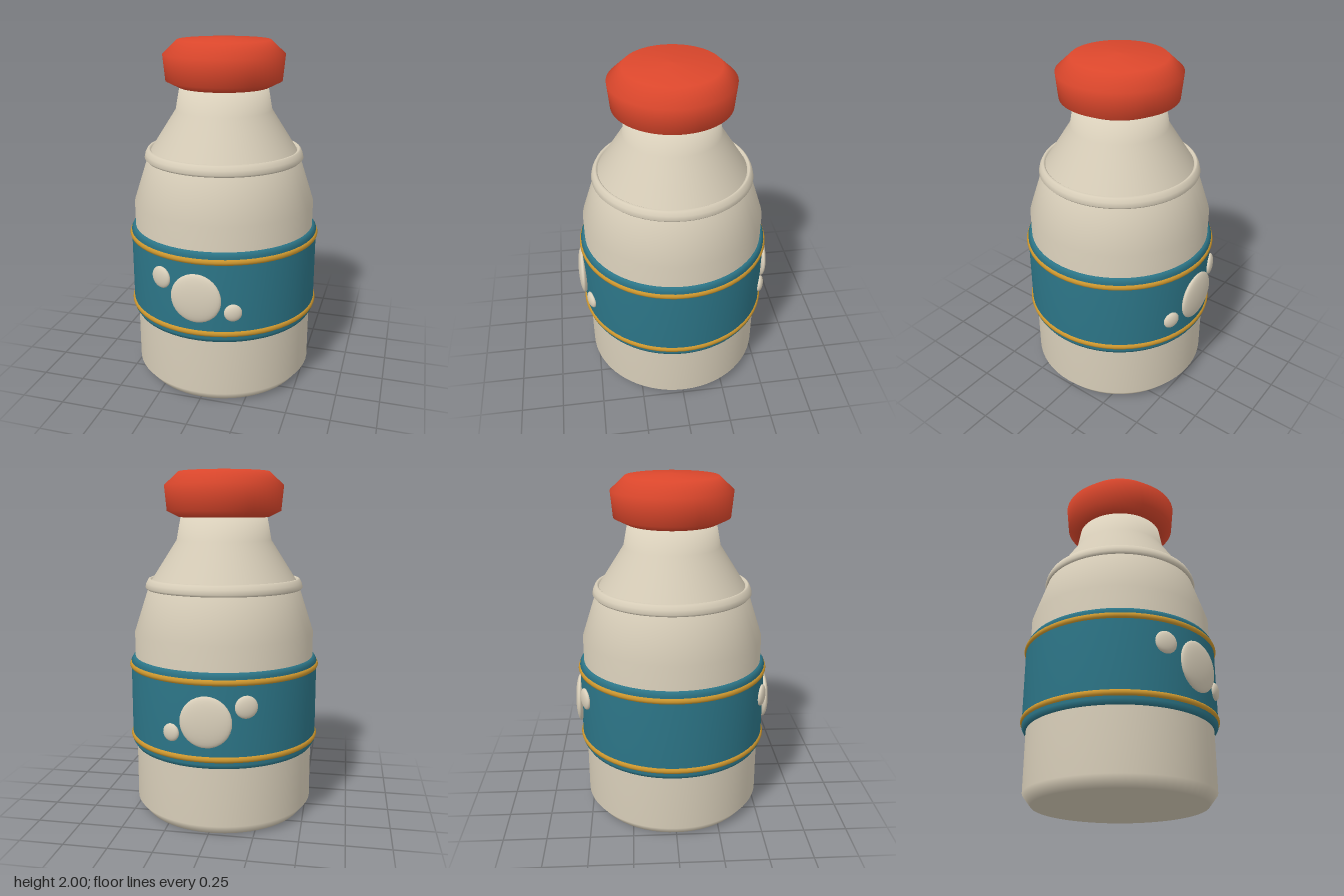
import * as THREE from 'three';

const material = (name, color) => Object.assign(new THREE.MeshStandardMaterial({ color }), { name });

export function createModel() {
  const cream = material('cream', 0xd9cfba);
  const teal = material('teal', 0x2c7587);
  const gold = material('gold', 0xcc962e);
  const red = material('red', 0xdc472c);

  const model = new THREE.Group();
  model.name = 'bottle';

  const add = (name, geometry, mat) => {
    const mesh = new THREE.Mesh(geometry, mat);
    mesh.name = name;
    model.add(mesh);
    return mesh;
  };
  // Profiles are [radius, height] pairs running from bottom to top
  const lathe = (name, points, mat) =>
    add(name, new THREE.LatheGeometry(points.map(([r, y]) => new THREE.Vector2(r, y)), 64), mat);

  // Body with chamfered foot, sloping shoulder and narrow neck
  lathe('body', [
    [0, 0], [0.48, 0], [0.527, 0.06], [0.527, 1.07], [0.436, 1.35],
    [0.276, 1.6], [0.25, 1.74], [0, 1.74],
  ], cream);

  // Raised ring round the shoulder
  lathe('shoulderRing', [
    [0.425, 1.32], [0.45, 1.318], [0.461, 1.33], [0.455, 1.355], [0.443, 1.378],
    [0.434, 1.382], [0.426, 1.376], [0.415, 1.36],
  ], cream);

  // Broad label band with chamfered rims
  lathe('labelBand', [
    [0.52, 0.4], [0.536, 0.4], [0.551, 0.425], [0.551, 0.905], [0.536, 0.93], [0.52, 0.93],
  ], teal);

  // Trim rings on the band
  for (const [name, y] of [['lowerTrim', 0.455], ['upperTrim', 0.88]]) {
    const trim = add(name, new THREE.TorusGeometry(0.541, 0.02, 10, 64), gold);
    trim.rotation.x = Math.PI / 2;
    trim.position.y = y;
  }

  // Faceted cap with a shallow dome
  lathe('cap', [
    [0, 1.73], [0.26, 1.73], [0.33, 1.765], [0.344, 1.91], [0.262, 1.986], [0, 2],
  ], red);

  // Flattened dots on the front and back of the band: x, y, radius, depth
  const dots = [
    [0, 0.665, 0.143, 0.03],
    [-0.212, 0.748, 0.063, 0.022],
    [0.199, 0.588, 0.05, 0.022],
  ];
  for (const side of [1, -1]) {
    for (const [x, y, radius, depth] of dots) {
      const dot = add(side > 0 ? 'frontDot' : 'backDot', new THREE.SphereGeometry(1, 32, 16), cream);
      const z = side * Math.sqrt(0.555 ** 2 - x ** 2);
      dot.position.set(x, y, z);
      dot.rotation.y = Math.atan2(x, z);
      dot.scale.set(radius, radius, depth);
    }
  }
  return model;
}
